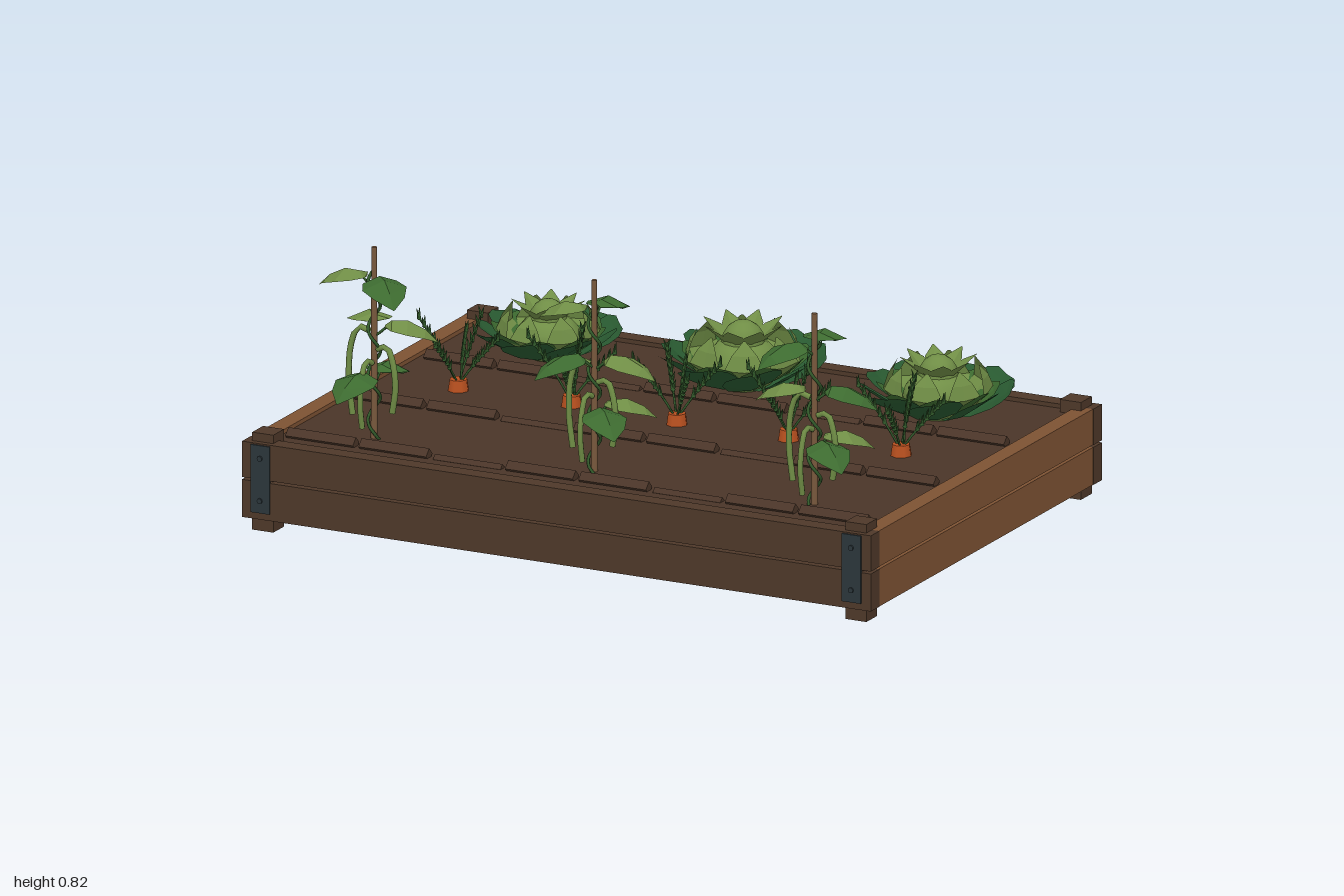
import * as THREE from 'three';
import { mergeGeometries } from 'three/addons/utils/BufferGeometryUtils.js';

const mat = (name, color, side = THREE.FrontSide) => {
  const m = new THREE.MeshStandardMaterial({ color, side });
  m.name = name;
  return m;
};
const D = THREE.DoubleSide;
const M = {
  darkWood: mat('dark wood', 0x4e3829),
  lightWood: mat('light wood', 0x7d5233),
  soil: mat('soil', 0x4a3528),
  metal: mat('dark metal', 0x2b363b),
  outer: mat('deep green', 0x295a31, D),
  leaf: mat('leaf green', 0x3d6b30, D),
  pale: mat('pale green', 0x708e46, D),
  frond: mat('frond green', 0x31592a),
  carrot: mat('carrot orange', 0xb9501f),
  stake: mat('stake wood', 0x7a5a3e),
};

function add(parent, name, geo, material, x = 0, y = 0, z = 0) {
  const m = new THREE.Mesh(geo, material);
  m.name = name;
  m.position.set(x, y, z);
  parent.add(m);
  return m;
}
const box = (p, name, material, w, h, d, x, y, z) =>
  add(p, name, new THREE.BoxGeometry(w, h, d), material, x, y, z);

// Faceted leaf along +x; rows are [reach, height, half width, edge lift]
function leafGeo(rows) {
  const pos = [];
  const pts = rows.map(([r, y, w, e]) => [[r, y + e, -w], [r, y, 0], [r, y + e, w]]);
  for (let i = 0; i < rows.length - 1; i++)
    for (let j = 0; j < 2; j++) {
      const a = pts[i][j], b = pts[i][j + 1], c = pts[i + 1][j + 1], d = pts[i + 1][j];
      pos.push(...a, ...b, ...c, ...a, ...c, ...d);
    }
  const g = new THREE.BufferGeometry();
  g.setAttribute('position', new THREE.Float32BufferAttribute(pos, 3));
  g.computeVertexNormals();
  return g;
}

// Leaves around a centre, each rolled a little so neighbours overlap
const ring = (rows, n, phase, roll = 0) => mergeGeometries(Array.from({ length: n }, (_, i) =>
  leafGeo(rows).rotateX(roll).rotateY(phase + (i / n) * Math.PI * 2)));

const tube = (points, radius, segs = 8, sides = 5) => new THREE.TubeGeometry(
  new THREE.CatmullRomCurve3(points.map(p => new THREE.Vector3(...p))), segs, radius, sides);

function planter() {
  const g = new THREE.Group();
  g.name = 'planterBox';
  for (const s of [-1, 1]) {
    for (const [y, h] of [[0.0985, 0.111], [0.214, 0.106]]) {
      box(g, 'longPlank', M.darkWood, 2, h, 0.053, 0, y, s * 0.688);
      box(g, 'endPlank', M.lightWood, 0.053, h, 1.323, s * 0.972, y, 0);
    }
    for (const t of [-1, 1]) {
      box(g, 'cornerPost', M.darkWood, 0.067, 0.288, 0.067, s * 0.943, 0.148, t * 0.663);
      box(g, 'cornerBracket', M.metal, 0.06, 0.2, 0.008, s * 0.94, 0.163, t * 0.716);
      for (const y of [0.1, 0.225]) {
        const b = add(g, 'bolt', new THREE.CylinderGeometry(0.008, 0.008, 0.008, 8), M.metal, s * 0.94, y, t * 0.721);
        b.rotation.x = Math.PI / 2;
      }
    }
  }
  box(g, 'soil', M.soil, 1.9, 0.145, 1.33, 0, 0.182, 0);
  // Broken furrow ridges between the rows
  for (const z of [-0.275, 0.16, 0.578])
    for (let i = 0; i < 8; i++) {
      const low = i % 3 === 2;
      const r = low ? 0.013 : 0.02;
      const geo = new THREE.CylinderGeometry(r, r, 0.215, 4).toNonIndexed();
      geo.computeVertexNormals();
      add(g, 'soilRidge', geo.rotateZ(Math.PI / 2), M.soil, -0.815 + i * 0.233, low ? 0.255 : 0.262, z);
    }
  return g;
}

function cabbage(scale, phase) {
  const g = new THREE.Group();
  g.name = 'cabbage';
  add(g, 'outerLeaves', ring([[0.04, 0, 0.025, 0], [0.11, 0.012, 0.062, 0.012],
    [0.18, 0.055, 0.088, 0.012], [0.215, 0.08, 0.082, 0.01], [0.234, 0.096, 0.05, 0.004]], 9, phase, 0.16), M.outer);
  add(g, 'lowerLeaves', ring([[0.03, 0.01, 0.02, 0], [0.12, 0.035, 0.06, 0.01],
    [0.17, 0.075, 0.055, 0.008], [0.19, 0.1, 0.012, 0]], 8, phase + 0.3, 0.1), M.leaf);
  add(g, 'middleLeaves', ring([[0.05, 0.02, 0.03, 0], [0.125, 0.038, 0.058, 0.008],
    [0.16, 0.08, 0.058, 0.006], [0.15, 0.125, 0.036, 0.003], [0.13, 0.165, 0.003, 0]], 8, phase), M.pale);
  add(g, 'innerLeaves', ring([[0.045, 0.12, 0.034, 0.012], [0.08, 0.15, 0.03, 0.012],
    [0.12, 0.186, 0.002, 0]], 8, phase + 0.39), M.pale);
  add(g, 'heart', new THREE.SphereGeometry(0.062, 12, 8), M.pale, 0, 0.127, 0);
  add(g, 'headCore', new THREE.SphereGeometry(0.11, 12, 8).scale(1, 0.75, 1), M.pale, 0, 0.06, 0);
  g.scale.setScalar(scale);
  return g;
}

function carrot(phase) {
  const g = new THREE.Group();
  g.name = 'carrot';
  add(g, 'carrotTop', new THREE.CylinderGeometry(0.026, 0.032, 0.04, 8), M.carrot, 0, 0.012, 0);
  const parts = [];
  // Four spreading fronds and a short upright one
  for (let i = 0; i < 5; i++) {
    const len = i === 4 ? 0.025 : 0.125 + 0.015 * (i % 2);
    const top = 0.165 + 0.015 * (i % 3);
    const curve = new THREE.QuadraticBezierCurve3(new THREE.Vector3(0.008, 0.025, 0),
      new THREE.Vector3(len * 0.42, top * 0.55, 0), new THREE.Vector3(len, top, 0));
    const frond = [new THREE.TubeGeometry(curve, 5, 0.0035, 4)];
    // Needle leaflets in pairs along each stem
    for (let k = 0; k < 6; k++) {
      const p = curve.getPoint(0.4 + k * 0.12);
      for (const s of [-1, 1])
        frond.push(new THREE.ConeGeometry(0.007, 0.036, 4).translate(0, 0.014, 0)
          .rotateX(s * 0.3).rotateZ(-0.1).translate(p.x, p.y, p.z));
    }
    parts.push(...frond.map(f => f.rotateY(phase + i * Math.PI / 2)));
  }
  add(g, 'fronds', mergeGeometries(parts), M.frond);
  return g;
}

// Leaves are [degrees, pale], two per level from the top down
function beanPlant(leaves, phase) {
  const g = new THREE.Group();
  g.name = 'beanPlant';
  add(g, 'stake', new THREE.CylinderGeometry(0.008, 0.01, 0.58, 6), M.stake, 0, 0.28, 0);
  const helix = Array.from({ length: 25 }, (_, i) => {
    const a = phase + i * 0.95;
    return [Math.cos(a) * 0.018, i * 0.0205, Math.sin(a) * 0.018];
  });
  add(g, 'vine', tube(helix, 0.005, 72, 5), M.frond);
  const heights = [0.475, 0.48, 0.335, 0.34, 0.19, 0.195];
  leaves.forEach(([deg, pale], i) => {
    const a = THREE.MathUtils.degToRad(deg);
    const m = add(g, 'beanLeaf', leafGeo([[0.03, 0, 0.012, 0], [0.05, 0.018, 0.05, -0.018],
      [0.095, 0.018, 0.066, -0.025], [0.145, -0.008, 0.044, -0.015], [0.183, -0.046, 0.002, 0]]),
    pale ? M.pale : M.leaf, 0, heights[i], 0);
    m.rotation.y = a;
    const stem = add(g, 'leafStem', tube([[0, -0.03, 0], [0.02, -0.015, 0], [0.045, 0.008, 0]], 0.004, 4, 4),
      M.frond, 0, heights[i], 0);
    stem.rotation.y = a;
  });
  // Hanging pods
  [[190, 0.32, 0.25], [-10, 0.27, 0.18], [-95, 0.23, 0.18]].forEach(([deg, y, len]) => {
    const pod = add(g, 'beanPod', tube([[0.012, 0, 0], [0.045, 0.01, 0], [0.068, -0.04, 0],
      [0.075, -len * 0.6, 0], [0.064, -len, 0]], 0.009, 10, 6), M.pale, 0, y, 0);
    pod.rotation.y = THREE.MathUtils.degToRad(deg);
  });
  return g;
}

export function createModel() {
  const root = new THREE.Group();
  root.name = 'raisedGardenBed';
  const place = (o, x, y, z) => { o.position.set(x, y, z); root.add(o); };
  root.add(planter());
  [[-0.62, 0.87], [0, 1], [0.62, 0.92]].forEach(([x, s], i) =>
    place(cabbage(s, i * 0.5), x, 0.262, -0.44));
  [[-0.7, -0.04, 0], [-0.345, -0.05, 0.25], [0, -0.03, 0.68], [0.35, -0.04, 0.04], [0.7, -0.055, 0.2]]
    .forEach(([x, z, phase]) => place(carrot(phase), x, 0.256, z));
  [
    [[177, true], [-45, false], [25, true], [125, true], [92, false], [262, false]],
    [[178, true], [92, false], [7, true], [-130, false], [-45, false], [40, true]],
    [[-123, false], [99, false], [184, true], [14, false], [-38, false], [47, true]],
  ].forEach((leaves, i) => place(beanPlant(leaves, i * 1.1), (i - 1) * 0.7, 0.25, 0.48));
  return root;
}
